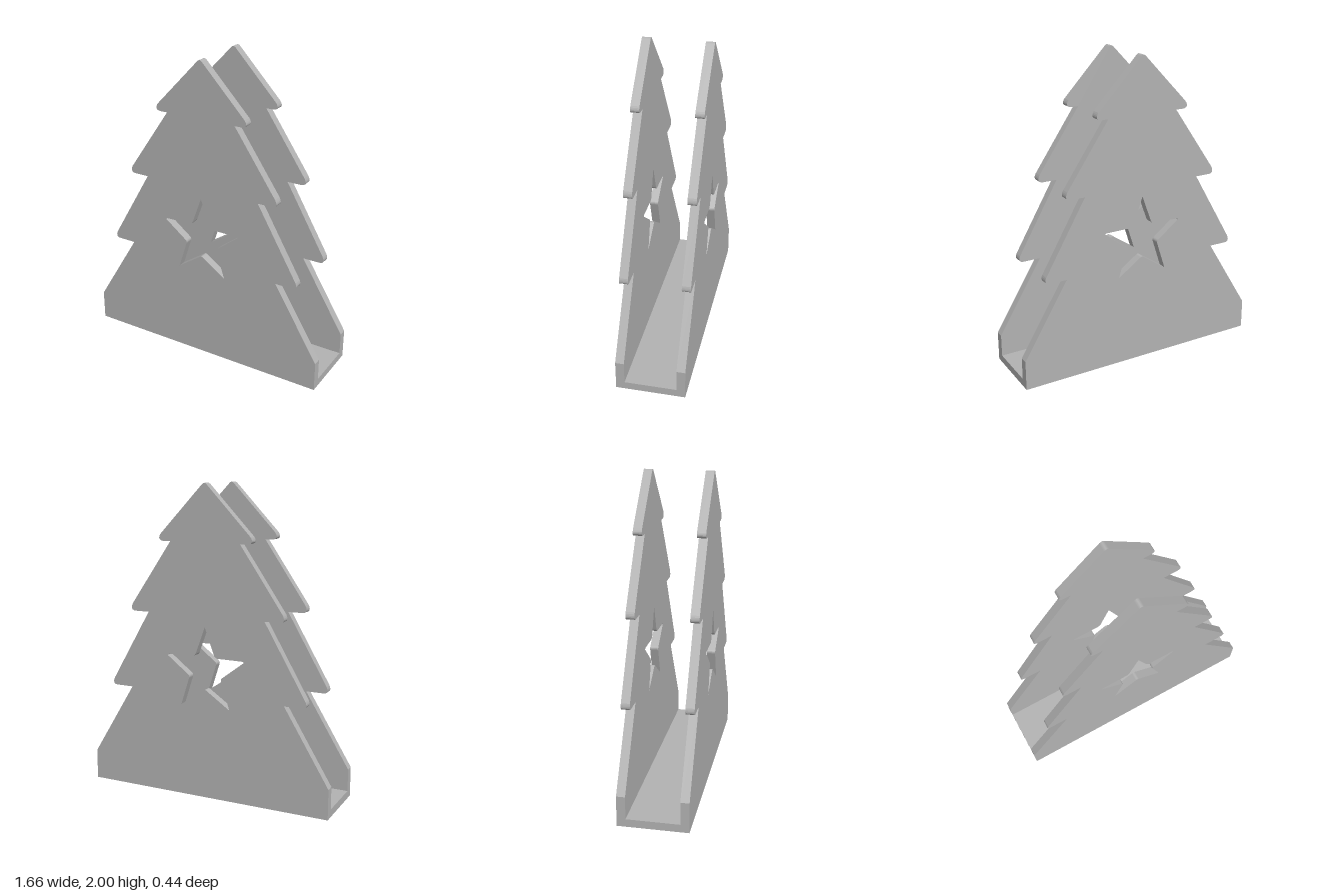
import * as THREE from 'three';

const DEPTH = 0.22, WALL = 0.055, FLOOR = 0.05, HALF_WIDTH = 0.83;

// Right half of the tree outline, bottom to top. Four numbers: control point, then end point of a rounded corner.
const TREE = [
  [0.83, 0], [0.83, 0.195],
  [0.535, 0.678], [0.653, 0.678], [0.69, 0.68, 0.672, 0.722],
  [0.402, 1.186], [0.5, 1.186], [0.543, 1.19, 0.517, 1.236],
  [0.238, 1.642], [0.29, 1.642], [0.333, 1.648, 0.305, 1.688],
  [0.016, 1.991], [0.008, 1.999, 0, 2],
];

// Right half of the star, top to bottom.
const STAR = [
  [0, 1.12], [0.062, 0.95], [0.069, 0.928, 0.092, 0.927],
  [0.25, 0.926], [0.268, 0.926, 0.265, 0.917],
  [0.122, 0.808], [0.108, 0.798, 0.113, 0.782],
  [0.17, 0.604], [0.01, 0.713], [0.004, 0.716, 0, 0.716],
];

// Traces a half outline and its mirror image as one closed loop
function mirroredLoop(half, target) {
  const points = [];
  half.forEach(([x, y, ex, ey]) => {
    if (ex === undefined) {
      points.push(new THREE.Vector2(x, y));
      return;
    }
    const curve = new THREE.QuadraticBezierCurve(
      points[points.length - 1], new THREE.Vector2(x, y), new THREE.Vector2(ex, ey));
    points.push(...curve.getPoints(8).slice(1));
  });
  const mirrored = points.filter((p) => p.x > 0).reverse().map((p) => new THREE.Vector2(-p.x, p.y));
  return target.setFromPoints([...points, ...mirrored]);
}

export function createModel() {
  const group = new THREE.Group();
  group.name = 'treeHolder';
  const grey = new THREE.MeshStandardMaterial({ color: 0xb2b2b2 });
  grey.name = 'grey';

  // Two identical tree panels with a star cut-out
  const tree = mirroredLoop(TREE, new THREE.Shape());
  tree.holes.push(mirroredLoop(STAR, new THREE.Path()));
  const panel = new THREE.ExtrudeGeometry(tree, { depth: WALL, bevelEnabled: false });
  [['frontPanel', DEPTH - WALL], ['backPanel', -DEPTH]].forEach(([name, z]) => {
    const mesh = new THREE.Mesh(panel, grey);
    mesh.name = name;
    mesh.position.z = z;
    group.add(mesh);
  });

  // Floor joining the panels
  const floor = new THREE.Mesh(
    new THREE.BoxGeometry(HALF_WIDTH * 2, FLOOR, (DEPTH - WALL) * 2), grey);
  floor.name = 'floor';
  floor.position.y = FLOOR / 2;
  group.add(floor);

  return group;
}
